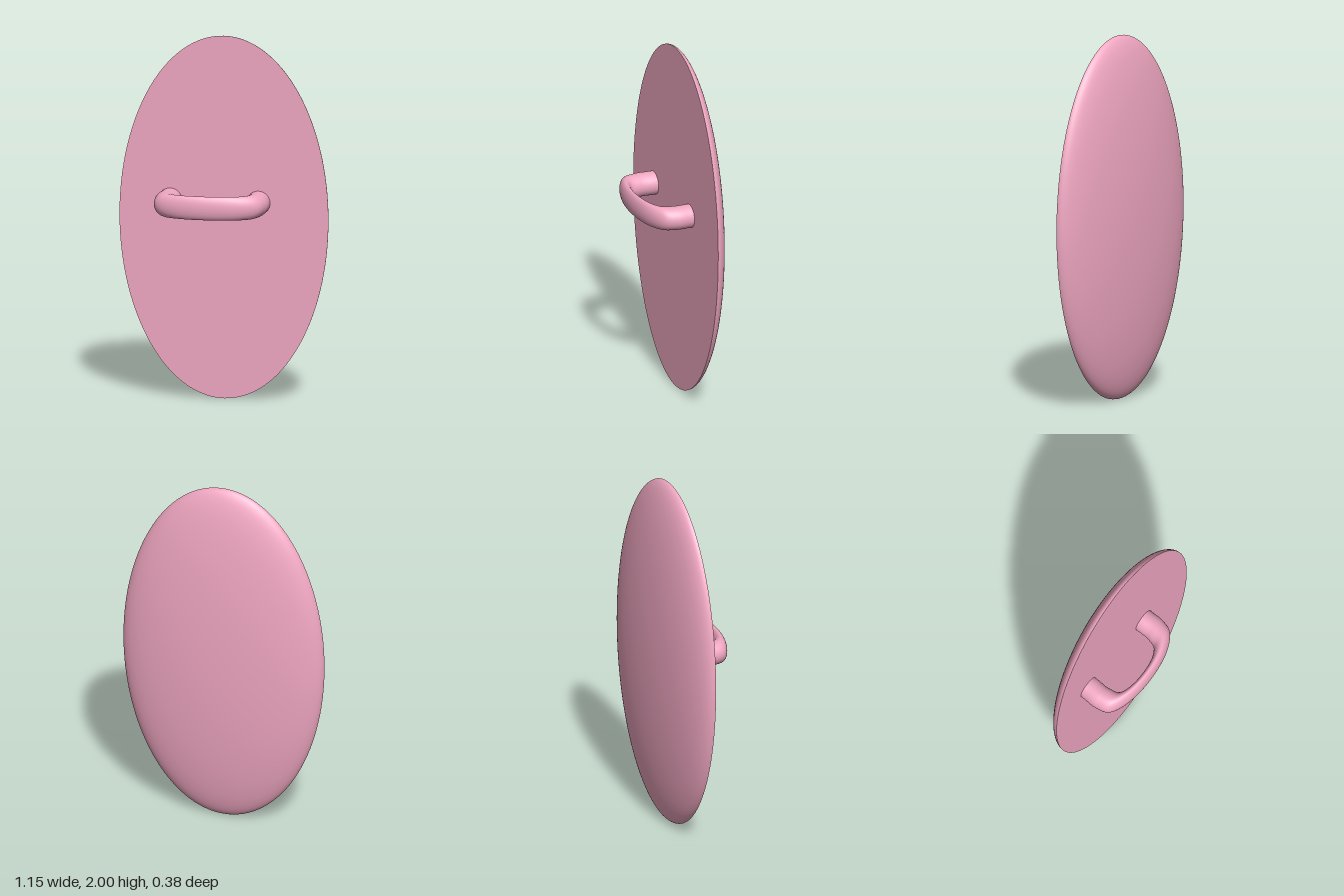
import * as THREE from 'three';

export function createModel() {
  const group = new THREE.Group();
  const pink = new THREE.MeshStandardMaterial({ color: 0xf0a7c1 });
  const add = (name, geometry) => {
    const mesh = new THREE.Mesh(geometry, pink);
    mesh.name = name;
    group.add(mesh);
  };

  const halfWidth = 0.577, halfHeight = 1, depth = 0.143, rimZ = -0.05;

  // Domed outer side: half an ellipsoid bulging to the back
  add('shieldDome', new THREE.SphereGeometry(1, 128, 48, 0, Math.PI * 2, 0, Math.PI / 2)
    .rotateX(-Math.PI / 2)
    .scale(halfWidth, halfHeight, depth)
    .translate(0, 1, rimZ));

  // Flat inner side
  add('shieldFace', new THREE.CircleGeometry(1, 128)
    .scale(halfWidth, halfHeight, 1)
    .translate(0, 1, rimZ));

  // Grip: a round tube bent into a loop, then flattened along z; its legs sink into the dome
  const flatten = 0.385;
  const path = [
    [-0.296, -0.08], [-0.298, -0.03], [-0.301, 0.05], [-0.275, 0.122], [-0.2, 0.153],
    [-0.08, 0.165], [0.06, 0.15], [0.153, 0.108], [0.186, 0.04], [0.19, -0.03], [0.19, -0.08],
  ].map(([x, z]) => new THREE.Vector3(x, 0, z / flatten));
  add('handle', new THREE.TubeGeometry(new THREE.CatmullRomCurve3(path), 120, 0.065, 32)
    .scale(1, 1, flatten)
    .translate(0, 1.085, 0));

  return group;
}
